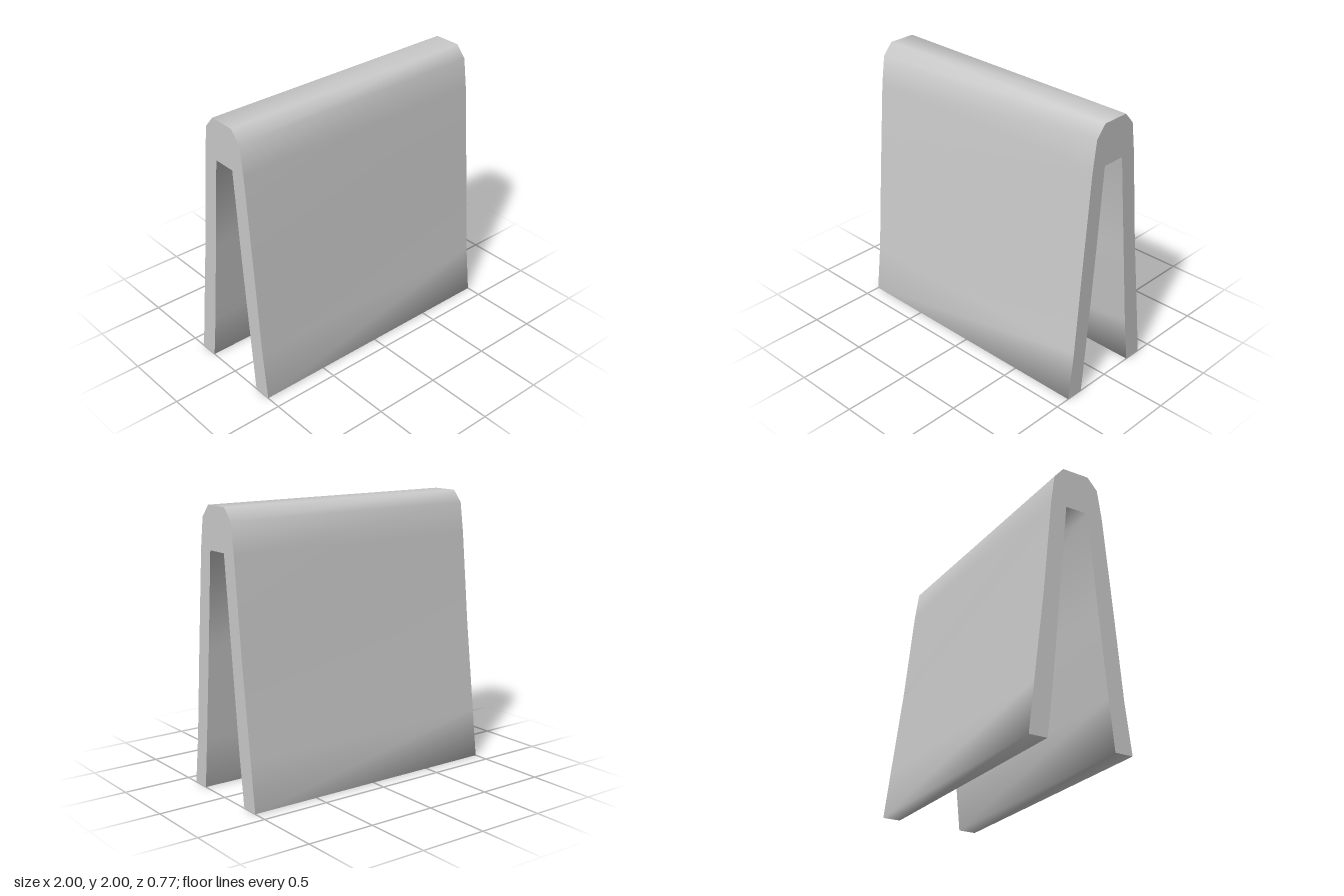
import * as THREE from 'three';

// Closed cross-section as [z, y]: up the front leg, over the ridge, down the back, then the inside
const PROFILE = [
  [0.387, 0], [0.343, 0.36], [0.29, 1], [0.228, 1.7], [0.197, 1.915], [0.122, 2],
  [-0.08, 2], [-0.154, 1.915], [-0.186, 1.7], [-0.26, 1], [-0.342, 0.36], [-0.387, 0],
  [-0.253, 0], [-0.206, 0.36], [-0.138, 1], [-0.064, 1.7],
  [0.108, 1.7], [0.163, 1], [0.219, 0.36], [0.253, 0],
];
const HALF_WIDTH = 1;

// Smooth skin swept along x around the whole cross-section
function skinGeometry() {
  const n = PROFILE.length;
  const positions = [];
  const indices = [];
  PROFILE.forEach(([z, y], i) => {
    positions.push(-HALF_WIDTH, y, z, HALF_WIDTH, y, z);
    const a = 2 * i;
    const b = 2 * ((i + 1) % n);
    indices.push(a, a + 1, b + 1, a, b + 1, b);
  });
  const geometry = new THREE.BufferGeometry();
  geometry.setAttribute('position', new THREE.Float32BufferAttribute(positions, 3));
  geometry.setIndex(indices);
  geometry.computeVertexNormals();
  return geometry;
}

// Flat end face at x = -HALF_WIDTH, facing outwards
function endGeometry() {
  const shape = new THREE.Shape(PROFILE.map(([z, y]) => new THREE.Vector2(z, y)));
  return new THREE.ShapeGeometry(shape).rotateY(-Math.PI / 2).translate(-HALF_WIDTH, 0, 0);
}

export function createModel() {
  const group = new THREE.Group();
  group.name = 'foldedStand';
  const material = new THREE.MeshStandardMaterial({ color: 0xcccccc });

  const skin = new THREE.Mesh(skinGeometry(), material);
  skin.name = 'foldedPanels';
  group.add(skin);

  // Mirrored end faces
  const end = endGeometry();
  for (const [name, side] of [['rightEnd', 1], ['leftEnd', -1]]) {
    const mesh = new THREE.Mesh(end, material);
    mesh.name = name;
    mesh.scale.x = side;
    group.add(mesh);
  }
  return group;
}
